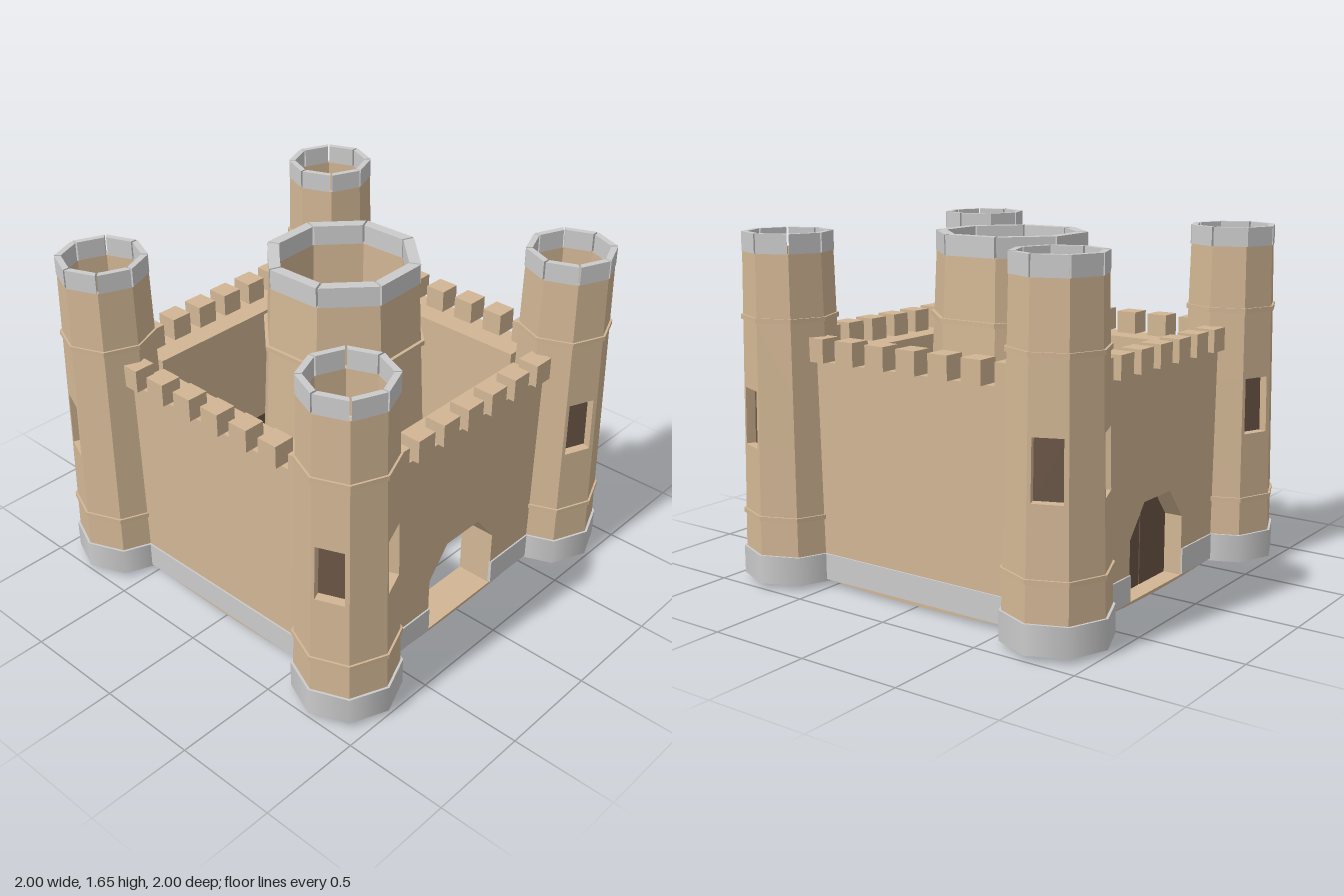
import * as THREE from 'three';

const STONE = new THREE.MeshStandardMaterial({ color: 0xcccccc });
const mat = (color) => new THREE.MeshStandardMaterial({ color, flatShading: true });
const TAN = mat(0xd2b694), WOOD = mat(0x6b5646), GREY = mat(0xcccccc);
const STEP = Math.PI / 4;

function add(parent, name, geometry, material, x = 0, y = 0, z = 0) {
  const mesh = new THREE.Mesh(geometry, material);
  mesh.name = name;
  mesh.position.set(x, y, z);
  parent.add(mesh);
  return mesh;
}

// Geometry from a list of four-cornered faces, counter-clockwise from outside
function quads(list) {
  const pos = [];
  for (const [a, b, c, d] of list) for (const p of [a, b, c, a, c, d]) pos.push(...p);
  const g = new THREE.BufferGeometry();
  g.setAttribute('position', new THREE.Float32BufferAttribute(pos, 3));
  g.computeVertexNormals();
  return g;
}

const lathe = (points) =>
  new THREE.LatheGeometry(points.map(([r, y]) => new THREE.Vector2(r, y)), 8);

// Eight-sided tapering tower; windows lists the faces that carry a window
function tower(name, o) {
  const g = new THREE.Group();
  g.name = name;
  const { y0, y1, y2, y3, rBase, rLow, rTop, rIn, lip, floorY, windows } = o;
  const radius = (y) => rLow + (rTop - rLow) * (y - y1) / (y2 - y1);
  const band = (y) => [[radius(y), y], [radius(y) + lip, y], [radius(y) + lip, y + 0.022], [radius(y + 0.022), y + 0.022]];
  const w0 = 0.66, w1 = 0.93;

  add(g, 'base', new THREE.CylinderGeometry(rBase, rBase, y1 - y0, 8), o.baseMaterial, 0, (y0 + y1) / 2, 0);
  add(g, 'lowerShaft', lathe([[rLow, y1], ...band(o.bands[0]), [radius(w0), w0]]), TAN);
  add(g, 'upperShaft', lathe([[radius(w1), w1], ...band(o.bands[1]), [rTop, y2], [rIn, y2], [rIn, floorY]]), TAN);

  // Window storey: plain faces, or jambs with a recess
  const pt = (i, u, y, d = 0) => {
    const a = i * STEP, b = a + STEP, m = a + STEP / 2, r = radius(y);
    return [
      r * (Math.sin(a) * (1 - u) + Math.sin(b) * u) - d * Math.sin(m), y,
      r * (Math.cos(a) * (1 - u) + Math.cos(b) * u) - d * Math.cos(m),
    ];
  };
  const walls = [], panes = [], L = 0.1, R = 0.88, D = 0.045;
  const strip = (i, u, v) => [pt(i, u, w0), pt(i, v, w0), pt(i, v, w1), pt(i, u, w1)];
  for (let i = 0; i < 8; i++) {
    if (!windows.includes(i)) { walls.push(strip(i, 0, 1)); continue; }
    walls.push(strip(i, 0, L), strip(i, R, 1));
    const f = [pt(i, L, w0), pt(i, R, w0), pt(i, R, w1), pt(i, L, w1)];
    const k = [pt(i, L, w0, D), pt(i, R, w0, D), pt(i, R, w1, D), pt(i, L, w1, D)];
    for (let e = 0; e < 4; e++) {
      const n = (e + 1) % 4;
      walls.push([f[e], f[n], k[n], k[e]]);
    }
    panes.push(k);
  }
  add(g, 'windowStorey', quads(walls), TAN);
  if (panes.length) add(g, 'windows', quads(panes), WOOD);

  // Sunken floor
  const floor = new THREE.CircleGeometry(rIn, 8).rotateX(-Math.PI / 2);
  add(g, 'topFloor', floor, o.floorMaterial, 0, floorY, 0);

  // Parapet slabs with a narrow gap at every corner
  const c = Math.cos(STEP / 2), s = Math.sin(STEP / 2), ro = rTop + 0.004, gap = 0.005;
  const shape = new THREE.Shape([[-1, ro], [1, ro], [1, rIn], [-1, rIn]].map(
    ([k, r]) => new THREE.Vector2(k * (r * s - gap), -r * c)));
  for (let i = 0; i < 8; i++) {
    const slab = new THREE.ExtrudeGeometry(shape, { depth: y3 - y2, bevelEnabled: false }).rotateX(-Math.PI / 2);
    add(g, 'parapetSlab', slab, GREY, 0, y2, 0).rotation.y = (i + 0.5) * STEP;
  }
  return g;
}

// Curtain wall facing +z before it is turned
function curtainWall(name, angle, pitch, hasGate, hasDoors) {
  const g = new THREE.Group();
  g.name = name;
  const half = 0.56, top = 1.07, inner = 0.61, outer = 0.79;
  const shape = new THREE.Shape();
  shape.moveTo(half, top);
  shape.lineTo(-half, top);
  shape.lineTo(-half, 0.035);
  shape.quadraticCurveTo(0, -0.005, half, 0.035); // gently sagging foot
  if (hasGate) {
    shape.holes.push(new THREE.Path([[-0.235, 0.03], [-0.235, 0.32], [-0.115, 0.47], [0.115, 0.47], [0.235, 0.32], [0.235, 0.03]]
      .map(([x, y]) => new THREE.Vector2(x, y))));
  }
  add(g, 'wall', new THREE.ExtrudeGeometry(shape, { depth: outer - inner, bevelEnabled: false, curveSegments: 12 }), TAN, 0, 0, inner);

  // Stone skirting, broken by the gate
  const from = hasGate ? 0.235 : 0;
  for (const side of [-1, 1]) {
    add(g, 'skirting', new THREE.BoxGeometry(half - from, 0.125, 0.016), GREY, side * (half + from) / 2, 0.0975, outer);
  }
  for (let i = -3; i <= 3; i++) {
    add(g, 'merlon', new THREE.BoxGeometry(0.105, 0.11, 0.105), TAN, i * pitch, top + 0.055, 0.77);
  }
  if (hasDoors) {
    for (const side of [-1, 1]) {
      const leaf = new THREE.Shape([[0.004, 0.03], [0.235, 0.03], [0.235, 0.32], [0.115, 0.47], [0.004, 0.47]]
        .map(([x, y]) => new THREE.Vector2(side * x, y)));
      add(g, 'doorLeaf', new THREE.ExtrudeGeometry(leaf, { depth: 0.03, bevelEnabled: false }), WOOD, 0, 0, 0.67);
    }
  }
  g.rotation.y = angle;
  return g;
}

export function createModel() {
  const model = new THREE.Group();
  model.name = 'castle';

  // Corner towers, each with two outward windows
  const s = Math.sin(STEP / 2), c = Math.cos(STEP / 2);
  const face = (x, z) => Math.floor(((Math.atan2(x, z) + 2 * Math.PI) % (2 * Math.PI)) / STEP);
  for (const sx of [-1, 1]) for (const sz of [-1, 1]) {
    const t = tower('cornerTower', {
      y0: 0.025, y1: 0.16, y2: 1.56, y3: 1.65, rBase: 0.25, rLow: 0.238, rTop: 0.207, rIn: 0.18,
      lip: 0.01, floorY: 1.34, bands: [0.325, 1.248], baseMaterial: STONE, floorMaterial: GREY,
      windows: [face(sx * s, sz * c), face(sx * c, -sz * s)],
    });
    t.position.set(sx * 0.75, 0, sz * 0.75);
    model.add(t);
  }

  // Central keep
  const keep = tower('keep', {
    y0: 0, y1: 0.14, y2: 1.54, y3: 1.635, rBase: 0.455, rLow: 0.432, rTop: 0.362, rIn: 0.31,
    lip: 0.016, floorY: 1.33, bands: [0.31, 1.23], baseMaterial: TAN, floorMaterial: WOOD, windows: [],
  });
  keep.position.set(0.012, 0, -0.022);
  keep.rotation.y = THREE.MathUtils.degToRad(24.5);
  model.add(keep);

  // Curtain walls
  model.add(curtainWall('frontWall', 0, 0.178, false, false));
  model.add(curtainWall('backWall', Math.PI, 0.178, false, false));
  model.add(curtainWall('leftGateWall', Math.PI / 2, 0.167, true, false));
  model.add(curtainWall('rightGateWall', -Math.PI / 2, 0.167, true, true));
  return model;
}
